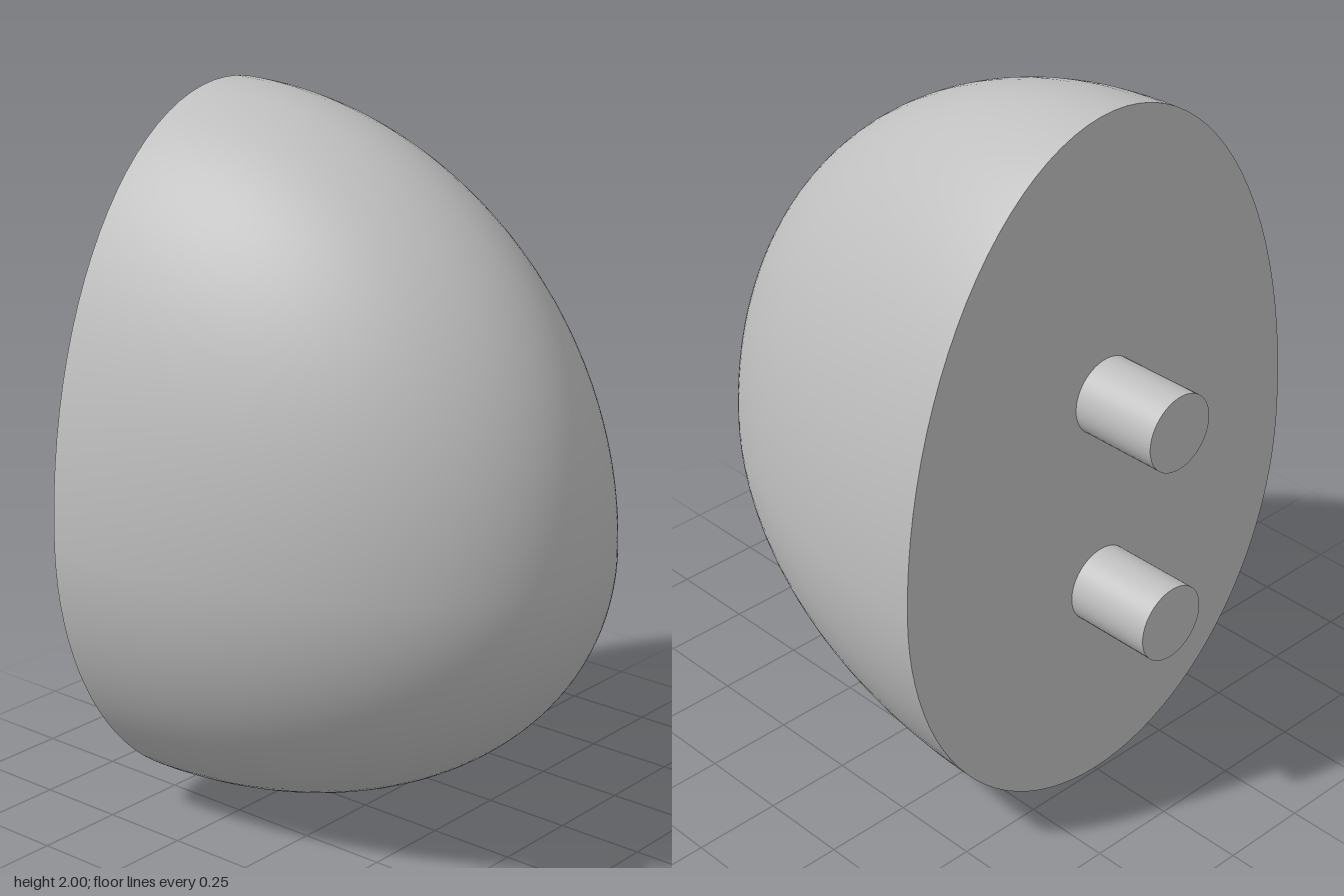
import * as THREE from 'three';

const CUT_X = -0.49, MID_Y = 0.85;   // flat face plane and widest height
const DEPTH = 1.23, HALF_WIDTH = 0.69, UPPER = 1.15, LOWER = 0.85;

// Stretch a unit form into an egg that is taller above its middle than below
function eggStretch(geometry, smoothNormals) {
  const pos = geometry.attributes.position, nor = geometry.attributes.normal;
  const n = new THREE.Vector3();
  for (let i = 0; i < pos.count; i++) {
    const x = pos.getX(i), y = pos.getY(i), z = pos.getZ(i);
    const sy = y > 0 ? UPPER : LOWER;
    pos.setXYZ(i, CUT_X + x * DEPTH, MID_Y + y * sy, z * HALF_WIDTH);
    if (smoothNormals) {
      n.set(x / DEPTH, y / sy, z / HALF_WIDTH).normalize();
      nor.setXYZ(i, n.x, n.y, n.z);
    }
  }
  return geometry;
}

export function createModel() {
  const model = new THREE.Group();
  model.name = 'halfEggKnob';
  const grey = new THREE.MeshStandardMaterial({ name: 'grey', color: 0xbfbfbf });

  const add = (name, geometry) => {
    const mesh = new THREE.Mesh(geometry, grey);
    mesh.name = name;
    model.add(mesh);
    return mesh;
  };

  // Domed shell: a hemisphere with its pole on +x
  const dome = new THREE.SphereGeometry(1, 96, 48, 0, Math.PI * 2, 0, Math.PI / 2);
  add('eggShell', eggStretch(dome.rotateZ(-Math.PI / 2), true));

  // Flat cut face looking towards -x
  const face = new THREE.CircleGeometry(1, 96).rotateY(-Math.PI / 2);
  add('flatFace', eggStretch(face, false));

  // Two mounting pegs on the flat face
  for (const [name, y] of [['upperPeg', 1.205], ['lowerPeg', 0.625]]) {
    const peg = new THREE.CylinderGeometry(0.108, 0.108, 0.265, 48).rotateZ(Math.PI / 2);
    add(name, peg).position.set(-0.6125, y, 0);
  }
  return model;
}
